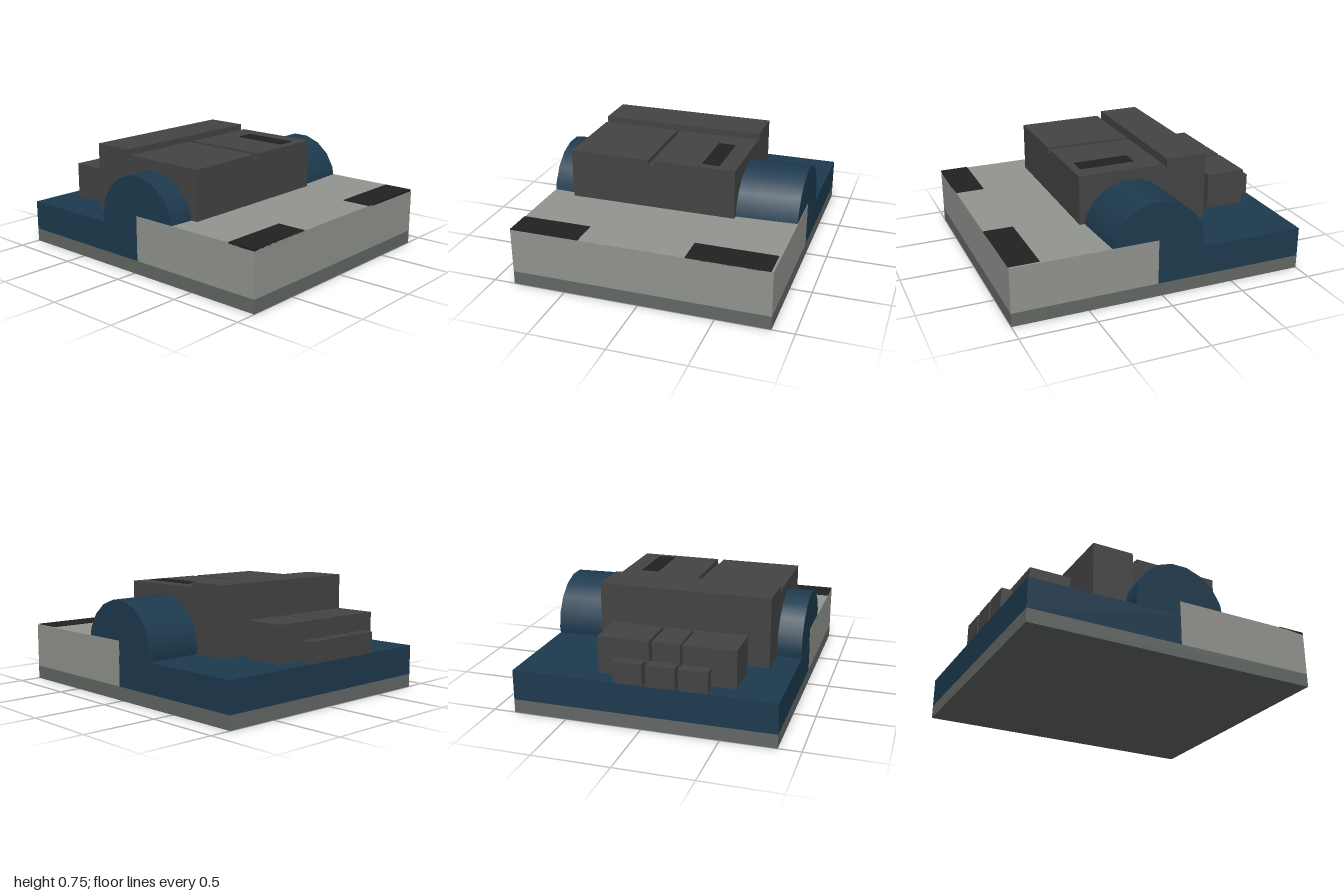
import * as THREE from 'three';

const mat = (color) => new THREE.MeshStandardMaterial({ color });

export function createModel() {
  const model = new THREE.Group();
  const lightGrey = mat(0x92948f), midGrey = mat(0x636865), blue = mat(0x1d3a4e);
  const darkGrey = mat(0x444444), black = mat(0x212121);

  // Box given by its extents along each axis
  const box = (name, material, [x0, x1], [y0, y1], [z0, z1], parent = model) => {
    const mesh = new THREE.Mesh(new THREE.BoxGeometry(x1 - x0, y1 - y0, z1 - z0), material);
    mesh.position.set((x0 + x1) / 2, (y0 + y1) / 2, (z0 + z1) / 2);
    mesh.name = name;
    parent.add(mesh);
  };

  // Base: thin floor, raised front block, lower rear deck
  const W = [-0.855, 0.855];
  box('floorPlate', midGrey, W, [0, 0.09], [-1, 1]);
  box('frontBlock', lightGrey, W, [0.09, 0.39], [0.03, 1]);
  box('rearDeck', blue, W, [0.09, 0.29], [-1, 0.03]);

  // Dark patches on the front corners
  box('frontPatchRight', black, [-0.855, -0.39], [0.38, 0.395], [0.805, 1]);
  box('frontPatchLeft', black, [0.31, 0.84], [0.38, 0.395], [0.805, 1]);

  // Cross drum, bowed slightly forward in the middle
  const R = 0.32, SIDES = 18, HALF = 0.853;
  const drumGeo = new THREE.CylinderGeometry(R, R, HALF * 2, SIDES, 12);
  drumGeo.rotateZ(Math.PI / 2);
  const p = drumGeo.attributes.position;
  for (let i = 0; i < p.count; i++) {
    const t = p.getX(i) / HALF;
    p.setZ(i, p.getZ(i) + 0.03 * (1 - t * t));
  }
  const drum = new THREE.Mesh(drumGeo, blue);
  drum.position.set(0, 0.333, 0.033);
  drum.name = 'crossDrum';
  model.add(drum);

  // Housing: body, two lid panels split by a groove, raised rear section
  const housing = new THREE.Group();
  housing.name = 'housing';
  model.add(housing);
  box('housingBody', darkGrey, [-0.69, 0.445], [0.25, 0.69], [-0.215, 0.4], housing);
  box('lidPanelRight', darkGrey, [-0.69, -0.145], [0.69, 0.722], [-0.185, 0.4], housing);
  box('lidPanelLeft', darkGrey, [-0.1, 0.445], [0.69, 0.722], [-0.185, 0.4], housing);
  box('housingRear', darkGrey, [-0.69, 0.445], [0.25, 0.755], [-0.5, -0.215], housing);
  box('lidVent', black, [0.21, 0.325], [0.7, 0.727], [-0.03, 0.345], housing);

  // Two rows of blocks behind the housing
  [[-0.57, -0.23], [-0.215, -0.035], [-0.015, 0.32]].forEach((x) =>
    box('tallRearBlock', darkGrey, x, [0.27, 0.535], [-0.875, -0.6]));
  [[-0.425, -0.24], [-0.22, -0.035], [-0.01, 0.175]].forEach((x) =>
    box('shortRearBlock', darkGrey, x, [0.29, 0.43], [-1, -0.925]));

  return model;
}
